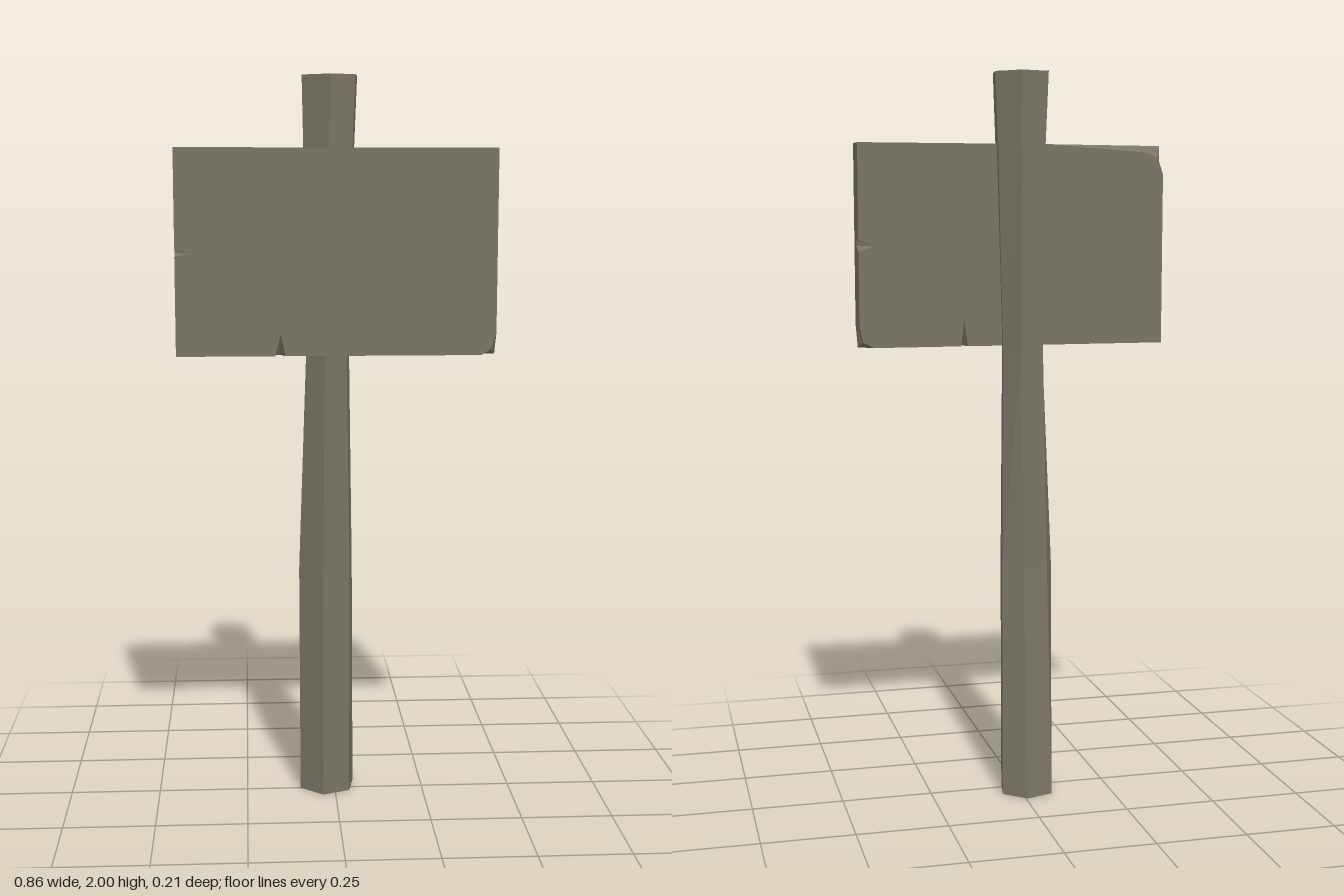
import * as THREE from 'three';

// Skin a stack of matching counter-clockwise outlines along z and cap both ends.
function loft(rings, depths) {
  const n = rings[0].length, last = rings.length - 1;
  const positions = [], index = [];
  rings.forEach((ring, k) => ring.forEach(([x, y]) => positions.push(x, y, depths[k])));
  for (let k = 0; k < last; k++) {
    for (let i = 0; i < n; i++) {
      const a = k * n + i, b = k * n + (i + 1) % n;
      index.push(a, b, b + n, a, b + n, a + n);
    }
  }
  const cap = (k) => THREE.ShapeUtils.triangulateShape(rings[k].map(([x, y]) => new THREE.Vector2(x, y)), []);
  for (const [a, b, c] of cap(0)) index.push(c, b, a);
  for (const [a, b, c] of cap(last)) index.push(a + last * n, b + last * n, c + last * n);
  const geometry = new THREE.BufferGeometry();
  geometry.setAttribute('position', new THREE.Float32BufferAttribute(positions, 3));
  geometry.setIndex(index);
  const flat = geometry.toNonIndexed();
  flat.computeVertexNormals();
  return flat;
}

export function createModel() {
  const group = new THREE.Group();
  const wood = new THREE.MeshStandardMaterial({ color: 0x7a7466, flatShading: true });

  // Crooked six-sided post: outlines in x and -z, stacked upwards
  const postRings = [
    [[-0.035, -0.055], [0.04, -0.025], [0.055, 0.055], [-0.005, 0.107], [-0.08, 0.083], [-0.098, 0]],
    [[-0.035, -0.057], [0.04, -0.03], [0.05, 0.03], [-0.002, 0.067], [-0.075, 0.045], [-0.1, -0.005]],
    [[-0.03, -0.07], [0.03, -0.05], [0.04, 0.005], [0, 0.055], [-0.065, 0.035], [-0.08, -0.03]],
    [[-0.02, -0.093], [0.043, -0.07], [0.052, 0], [0, 0.056], [-0.07, 0.038], [-0.086, -0.043]],
    [[-0.015, -0.093], [0.05, -0.07], [0.06, 0], [0, 0.06], [-0.078, 0.04], [-0.09, -0.045]],
  ];
  const post = new THREE.Mesh(loft(postRings, [0, 0.65, 1.25, 1.8, 2]), wood);
  post.geometry.rotateX(-Math.PI / 2);
  post.name = 'post';
  group.add(post);

  // Board outline; 'front' and 'back' move a point on that face to cut a crack or chip
  const outline = [
    { p: [-0.43, 1.26] },
    { p: [-0.165, 1.26] }, { p: [-0.15, 1.26], front: [-0.15, 1.32] }, { p: [-0.138, 1.26] },
    { p: [0.13, 1.26] }, { p: [0.14, 1.26], back: [0.14, 1.33] }, { p: [0.15, 1.26] },
    { p: [0.39, 1.26] }, { p: [0.43, 1.26], front: [0.415, 1.275], back: [0.42, 1.275] }, { p: [0.43, 1.32] },
    { p: [0.43, 1.52] }, { p: [0.43, 1.535], back: [0.385, 1.535] }, { p: [0.43, 1.55] },
    { p: [0.43, 1.81] },
    { p: [-0.1, 1.81] }, { p: [-0.38, 1.81], back: [-0.38, 1.79] },
    { p: [-0.43, 1.81], back: [-0.415, 1.775] }, { p: [-0.43, 1.73] },
    { p: [-0.43, 1.545] }, { p: [-0.43, 1.535], front: [-0.39, 1.535] }, { p: [-0.43, 1.525] },
  ];
  const boardRings = [
    outline.map((o) => o.back ?? o.p),
    outline.map((o) => o.p),
    outline.map((o) => o.front ?? o.p),
  ];
  const board = new THREE.Mesh(loft(boardRings, [0.035, 0.072, 0.107]), wood);
  board.name = 'signBoard';
  group.add(board);

  return group;
}
